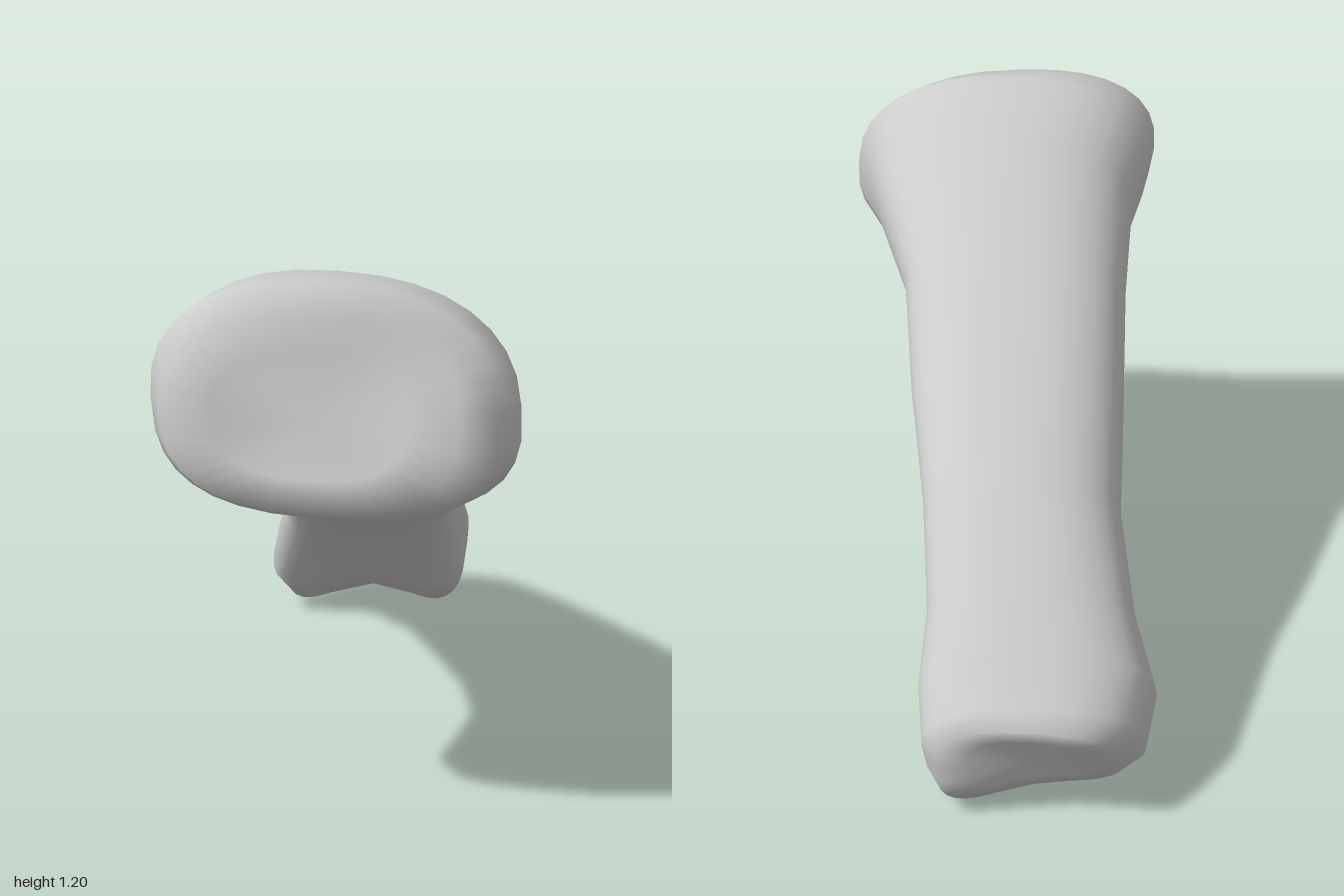
import * as THREE from 'three';
import { mergeVertices } from 'three/addons/utils/BufferGeometryUtils.js';

// Cross-sections from the wide base (+z) to the knuckle end (-z):
// centre x, y, z, half width, height above, height below,
// backward lean, skew (z per x), twist, sideways shear, groove, lower roundness
const SECTIONS = [
  [0.17, 0.91, 0.90, 0.32, 0.23, 0.21, 0.40, -0.27, -0.045, 0.03, 0.00, 0.75],
  [0.17, 0.925, 0.82, 0.385, 0.275, 0.25, 0.25, -0.20, -0.03, 0.03, 0.00, 0.70],
  [0.17, 0.93, 0.68, 0.405, 0.275, 0.26, 0.10, -0.10, 0.00, 0.03, 0.00, 0.75],
  [0.11, 0.905, 0.48, 0.345, 0.22, 0.23, 0.20, -0.15, 0.00, 0.00, 0.05, 0.80],
  [0.00, 0.80, 0.20, 0.28, 0.175, 0.18, 0.40, -0.24, 0.00, 0.00, 0.04, 0.80],
  [-0.09, 0.655, -0.11, 0.26, 0.17, 0.165, 0.47, -0.24, 0.00, 0.00, 0.00, 0.75],
  [-0.18, 0.50, -0.40, 0.233, 0.155, 0.15, 0.58, -0.24, 0.00, 0.00, 0.00, 0.75],
  [-0.265, 0.355, -0.63, 0.24, 0.15, 0.145, 0.60, -0.24, 0.00, 0.00, 0.10, 0.65],
  [-0.31, 0.24, -0.75, 0.265, 0.16, 0.21, 0.55, -0.32, 0.02, 0.00, 0.35, 0.50],
  [-0.33, 0.17, -0.86, 0.245, 0.155, 0.21, 0.50, -0.34, 0.03, 0.00, 0.35, 0.50],
  [-0.34, 0.16, -0.93, 0.205, 0.125, 0.14, 0.38, -0.34, 0.04, 0.00, 0.30, 0.60],
];
const SIDES = 32;

const signedPower = (v, e) => Math.sign(v) * Math.abs(v) ** e;

function sectionPoint(section, angle, scale) {
  const [x, y, z, w, up, down, lean, skew, twist, shear, groove, round] = section;
  const c = Math.cos(angle), s = Math.sin(angle);
  const e = s > 0 ? 0.85 : round;
  const a = signedPower(c, e), r = signedPower(s, e);
  // hollow between the two lower lobes
  const hollow = s < 0 ? 1 - groove * Math.cos((a * Math.PI) / 2) ** 2 : 1;
  const rise = r * hollow * (s > 0 ? up : down);
  return [
    x + scale * (a * w - shear * r),
    y + scale * (rise * Math.cos(lean) - a * w * 0.03),
    z + scale * (a * w * skew - rise * Math.sin(lean) + twist * a * r),
  ];
}

function loft() {
  // Both ends close with a smaller ring and a centre point
  const first = SECTIONS[0], last = SECTIONS[SECTIONS.length - 1];
  const rings = [
    [first, 0], [first, 0.65],
    ...SECTIONS.map((section) => [section, 1]),
    [last, 0.65], [last, 0],
  ];
  const positions = [], index = [];
  rings.forEach(([section, scale], i) => {
    for (let j = 0; j < SIDES; j++) {
      positions.push(...sectionPoint(section, (j / SIDES) * Math.PI * 2, scale));
      if (i === rings.length - 1) continue;
      const a = i * SIDES + j, b = i * SIDES + (j + 1) % SIDES;
      const c = a + SIDES, d = b + SIDES;
      if (i > 0) index.push(a, c, b);
      if (i < rings.length - 2) index.push(b, c, d);
    }
  });
  const geometry = new THREE.BufferGeometry();
  geometry.setAttribute('position', new THREE.Float32BufferAttribute(positions, 3));
  geometry.setIndex(index);
  const merged = mergeVertices(geometry, 1e-5);
  merged.computeVertexNormals();
  return merged;
}

export function createModel() {
  const bone = new THREE.Mesh(
    loft(),
    new THREE.MeshStandardMaterial({ color: 0xcccccc }),
  );
  bone.name = 'fingerBone';
  const group = new THREE.Group();
  group.name = 'bone';
  group.add(bone);
  return group;
}
